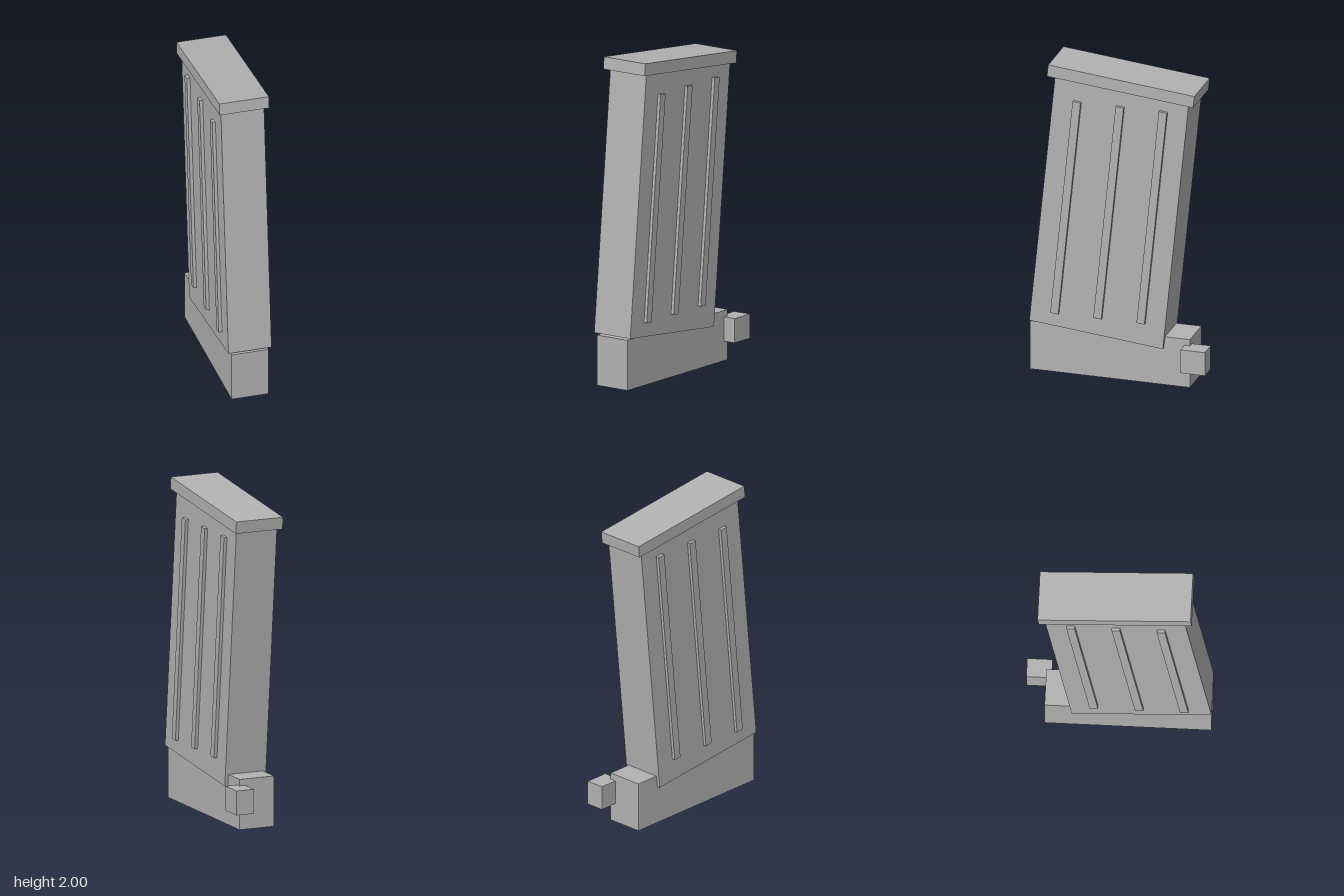
import * as THREE from 'three';

export function createModel() {
  const group = new THREE.Group();
  const grey = new THREE.MeshStandardMaterial({ color: 0xb2b2b2 });
  grey.name = 'grey metal';
  const lean = -THREE.MathUtils.degToRad(5.8);

  const box = (name, size, position, tilt = 0) => {
    const mesh = new THREE.Mesh(new THREE.BoxGeometry(...size), grey);
    mesh.name = name;
    mesh.position.set(...position);
    mesh.rotation.x = tilt;
    group.add(mesh);
  };

  // Upright base block and the small catch at its back left
  box('base', [0.23, 0.31, 1.005], [-0.02, 0.155, 0.058]);
  box('catch', [0.117, 0.15, 0.153], [0.114, 0.195, -0.487]);

  // Leaning body and its overhanging end plate
  box('body', [0.27, 1.605, 0.845], [-0.02, 1.078, 0.059], lean);
  box('endPlate', [0.31, 0.075, 0.925], [-0.02, 1.915, -0.021], lean);

  // Three raised ribs on each side
  for (const side of [-1, 1]) {
    for (const z of [0.327, 0.056, -0.216]) {
      box(side > 0 ? 'leftRib' : 'rightRib', [0.03, 1.392, 0.05], [-0.02 + side * 0.14, 1.085, z], lean);
    }
  }
  return group;
}
